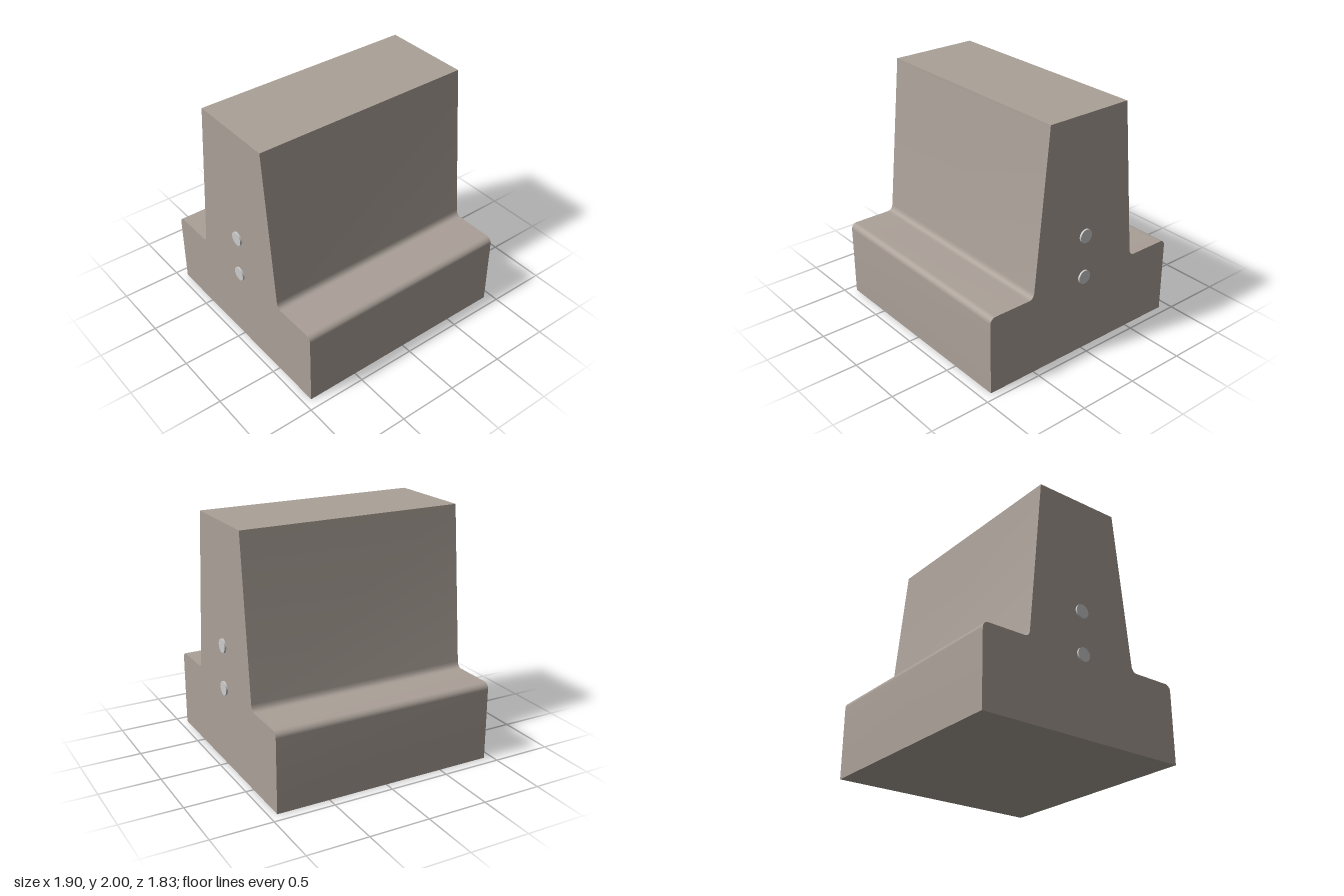
import * as THREE from 'three';
import { toCreasedNormals } from 'three/addons/utils/BufferGeometryUtils.js';

const HALF_WIDTH = 0.935;

// Half of the cross-section, from the foot up to the crown
function halfProfile() {
  const path = new THREE.Path();
  path.moveTo(0.915, 0);
  path.lineTo(0.915, 0.605);
  path.absarc(0.865, 0.605, 0.05, 0, Math.PI / 2, false); // rounded shoulder
  path.lineTo(0.553, 0.655);
  path.quadraticCurveTo(0.51, 0.655, 0.501, 0.705); // fillet at the wall
  path.lineTo(0.373, 2);
  return path.getPoints(14);
}

export function createModel() {
  const group = new THREE.Group();
  const stone = new THREE.MeshStandardMaterial({ color: 0xaaa098 });
  const metal = new THREE.MeshStandardMaterial({ color: 0xcccccc });

  // Stepped, tapered block: mirrored profile swept along x
  const half = halfProfile();
  const mirrored = half.map((p) => new THREE.Vector2(-p.x, p.y)).reverse();
  const geometry = new THREE.ExtrudeGeometry(new THREE.Shape([...half, ...mirrored]), {
    depth: 2 * HALF_WIDTH,
    bevelEnabled: false,
  });
  geometry.translate(0, 0, -HALF_WIDTH);
  geometry.rotateY(Math.PI / 2);
  const block = new THREE.Mesh(toCreasedNormals(geometry, 0.3), stone);
  block.name = 'block';
  group.add(block);

  // Two round pins on each end face
  const pinGeometry = new THREE.CylinderGeometry(0.057, 0.057, 0.05, 32);
  pinGeometry.rotateZ(Math.PI / 2);
  for (const side of [-1, 1]) {
    for (const [level, y] of [['lower', 0.656], ['upper', 1.012]]) {
      const pin = new THREE.Mesh(pinGeometry, metal);
      pin.name = `${level}${side > 0 ? 'Left' : 'Right'}Pin`;
      pin.position.set(side * (HALF_WIDTH - 0.01), y, 0);
      group.add(pin);
    }
  }
  return group;
}
